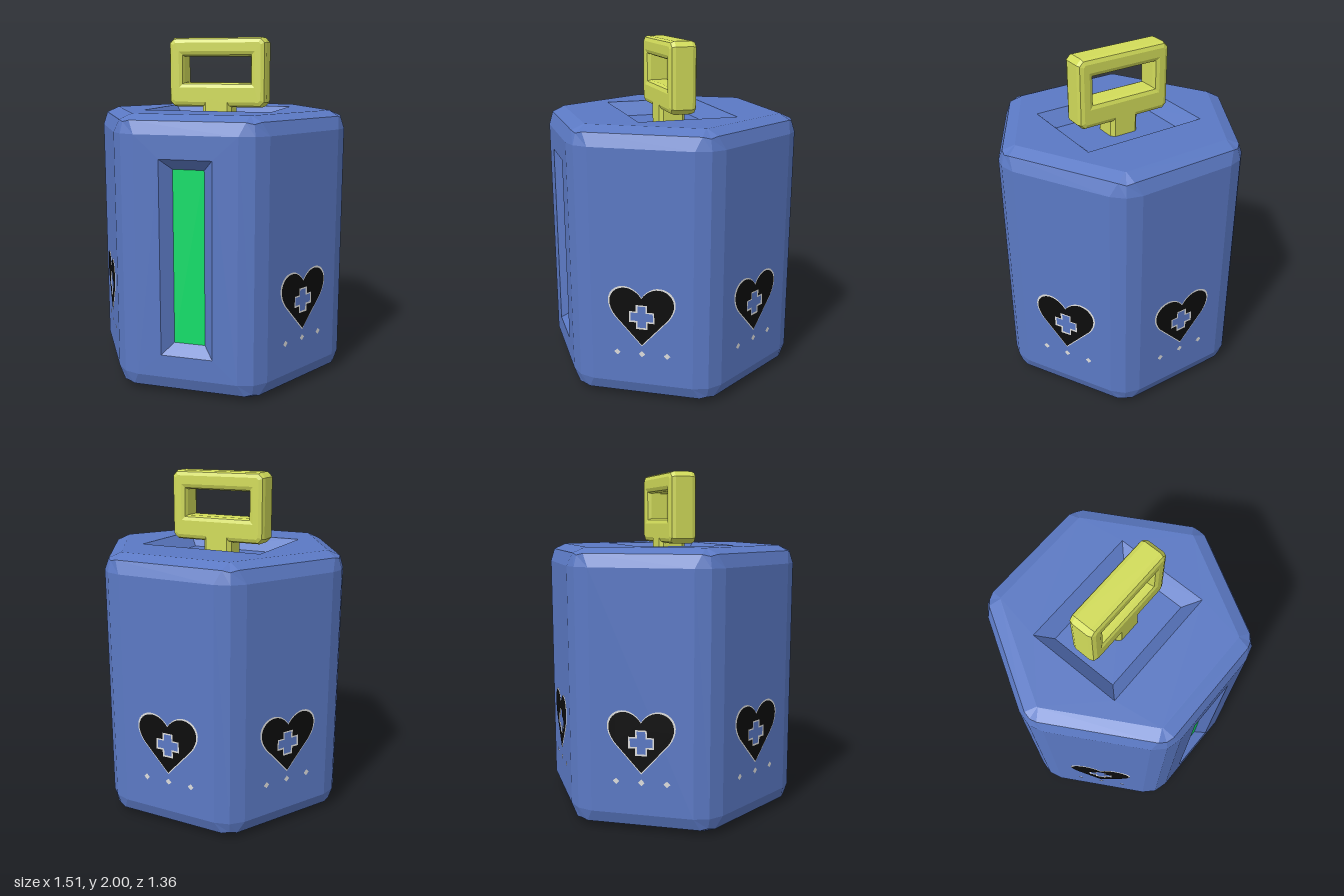
import * as THREE from 'three';

const colour = (name, hex, side = THREE.FrontSide) => {
  const m = new THREE.MeshStandardMaterial({ color: hex, side });
  m.name = name;
  return m;
};

// Flat-faced geometry from a list of four-cornered faces
function fromQuads(quads) {
  const pos = [];
  for (const [a, b, c, d] of quads) for (const p of [a, b, c, a, c, d]) pos.push(...p);
  const g = new THREE.BufferGeometry();
  g.setAttribute('position', new THREE.Float32BufferAttribute(pos, 3));
  g.computeVertexNormals();
  return g;
}

// Rectangle outline with cut corners
function cutRect(w, h, cut, cy = 0, Type = THREE.Shape) {
  const pts = [
    [-w + cut, -h], [w - cut, -h], [w, -h + cut], [w, h - cut],
    [w - cut, h], [-w + cut, h], [-w, h - cut], [-w, -h + cut],
  ].map(([x, y]) => new THREE.Vector2(x, y + cy));
  return new Type(pts);
}

function rect(w, h, cy = 0, Type = THREE.Shape) {
  return new Type([[-w, -h], [w, -h], [w, h], [-w, h]].map(([x, y]) => new THREE.Vector2(x, y + cy)));
}

// Hexagon ring whose corners are each rounded by a middle point
function hexRing([y, apothem, cut, midR, midY]) {
  const ring = [], R = apothem / Math.cos(Math.PI / 6);
  for (let k = 0; k < 6; k++) {
    const a = k * Math.PI / 3, c = Math.cos(a), s = Math.sin(a);
    const along = (t) => [R * c + cut * Math.cos(t), y, R * s + cut * Math.sin(t)];
    ring.push(along(a - Math.PI * 2 / 3), [midR * c, midY, midR * s], along(a + Math.PI * 2 / 3));
  }
  return ring;
}

// Sloping walls leading from an outer rectangle back to a smaller one
function recessWalls(w, h, inset, depth) {
  const corners = (a, b, z) => [[-a, -b, z], [a, -b, z], [a, b, z], [-a, b, z]];
  const o = corners(w, h, 0), i = corners(w - inset, h - inset, -depth);
  return fromQuads(o.map((p, k) => [p, o[(k + 1) % 4], i[(k + 1) % 4], i[k]]));
}

function heartShape() {
  const s = new THREE.Shape();
  s.moveTo(0, -0.17);
  s.lineTo(0.15, -0.005);
  s.bezierCurveTo(0.2, 0.06, 0.195, 0.125, 0.145, 0.158);
  s.bezierCurveTo(0.09, 0.19, 0.03, 0.16, 0, 0.112);
  s.bezierCurveTo(-0.03, 0.16, -0.09, 0.19, -0.145, 0.158);
  s.bezierCurveTo(-0.195, 0.125, -0.2, 0.06, -0.15, -0.005);
  s.closePath();
  return s;
}

function crossPath(r, t) {
  const q = [[t, r], [t, t], [r, t], [r, -t], [t, -t], [t, -r]];
  const pts = [...q, ...q.map(([x, y]) => [-x, -y])];
  return new THREE.Path(pts.map(([x, y]) => new THREE.Vector2(x, y)));
}

export function createModel() {
  const blue = colour('blue shell', 0x5b79c4);
  const yellow = colour('yellow handle', 0xd2dc5a);
  const green = colour('green window', 0x12e06a);
  const black = colour('black marking', 0x0c0c0c);
  const pale = colour('pale trim', 0xdedede);

  const model = new THREE.Group();
  const add = (parent, name, geo, mat, x = 0, y = 0, z = 0) => {
    const m = new THREE.Mesh(geo, mat);
    m.name = name;
    m.position.set(x, y, z);
    parent.add(m);
    return m;
  };

  // Hexagonal shell with rounded edges; the front panel is left open
  const H = 1.58, A = 0.68;
  const half = [
    [0, 0.58, 0.004, 0.667, 0],
    [0.032, 0.652, 0.05, 0.737, 0.042],
    [0.105, A, 0.1, 0.757, 0.105],
  ];
  const upper = half.map(([y, a, c, r, my]) => [H - y, a, c, r, H - my]).reverse();
  const rings = [...half, ...upper].map(hexRing);
  const quads = [];
  for (let i = 0; i < rings.length - 1; i++) {
    for (let j = 0; j < 18; j++) {
      if (i === 2 && j === 5) continue;
      const n = (j + 1) % 18, lo = rings[i], up = rings[i + 1];
      quads.push([lo[j], up[j], up[n], lo[n]]);
    }
  }
  add(model, 'shell', fromQuads(quads), blue);

  // Top and bottom caps
  const capShape = () => new THREE.Shape(rings[0].map(([x, , z]) => new THREE.Vector2(x, z)));
  add(model, 'bottomCap', new THREE.ShapeGeometry(capShape()).rotateX(Math.PI / 2), blue);
  const topShape = capShape();
  topShape.holes.push(rect(0.38, 0.29, 0, THREE.Path));
  add(model, 'topCap', new THREE.ShapeGeometry(topShape).rotateX(-Math.PI / 2), blue, 0, H);

  // Sunken tray in the top
  const tray = new THREE.Group();
  tray.name = 'topTray';
  tray.position.y = H;
  tray.rotation.x = -Math.PI / 2;
  add(tray, 'trayWalls', recessWalls(0.38, 0.29, 0.08, 0.08), blue);
  add(tray, 'trayFloor', new THREE.PlaneGeometry(0.6, 0.42), blue, 0, 0, -0.08);
  model.add(tray);

  // Front panel with a sunken window
  const panelW = A / Math.sqrt(3) - 0.1;
  const panel = rect(panelW, H / 2 - 0.105);
  panel.holes.push(rect(0.15, 0.555, 0, THREE.Path));
  add(model, 'frontPanel', new THREE.ShapeGeometry(panel), blue, 0, H / 2, A);
  add(model, 'windowWalls', recessWalls(0.15, 0.555, 0.06, 0.06), blue, 0, H / 2, A);
  add(model, 'window', new THREE.PlaneGeometry(0.18, 1), green, 0, H / 2, A - 0.06);

  // Handle loop with bevelled edges
  const loop = cutRect(0.27, 0.175, 0.012, 1.795);
  loop.holes.push(rect(0.235, 0.1075, 1.8125, THREE.Path));
  const loopGeo = new THREE.ExtrudeGeometry(loop, {
    depth: 0.1, bevelEnabled: true, bevelThickness: 0.03, bevelSize: 0.03, bevelSegments: 2,
  });
  add(model, 'handleLoop', loopGeo, yellow, 0, 0, -0.05);

  // Handle stem standing in the tray
  const stemGeo = new THREE.ExtrudeGeometry(cutRect(0.09, 0.08, 0.022), { depth: 0.14, bevelEnabled: false });
  add(model, 'handleStem', stemGeo.rotateX(-Math.PI / 2), yellow, 0, H - 0.08);

  // Heart marking, with a cross cut out and three dots below, on the other five sides
  const trim = heartShape();
  const trimGeoShape = new THREE.Shape(trim.getPoints(8).map((p) => p.multiplyScalar(1.05)));
  trimGeoShape.holes.push(crossPath(0.064, 0.024));
  const heart = heartShape();
  heart.holes.push(crossPath(0.073, 0.033));
  const trimGeo = new THREE.ShapeGeometry(trimGeoShape);
  const heartGeo = new THREE.ShapeGeometry(heart, 8);
  const dotGeo = new THREE.CircleGeometry(0.019, 4);
  for (let k = 1; k < 6; k++) {
    const mark = new THREE.Group();
    mark.name = 'heartMarking';
    mark.rotation.y = k * Math.PI / 3;
    add(mark, 'heartTrim', trimGeo, pale, 0, 0.52, A + 0.002);
    add(mark, 'heart', heartGeo, black, 0, 0.52, A + 0.004);
    for (const x of [-0.145, 0, 0.145]) add(mark, 'dot', dotGeo, pale, x, 0.293, A + 0.002);
    model.add(mark);
  }
  return model;
}
